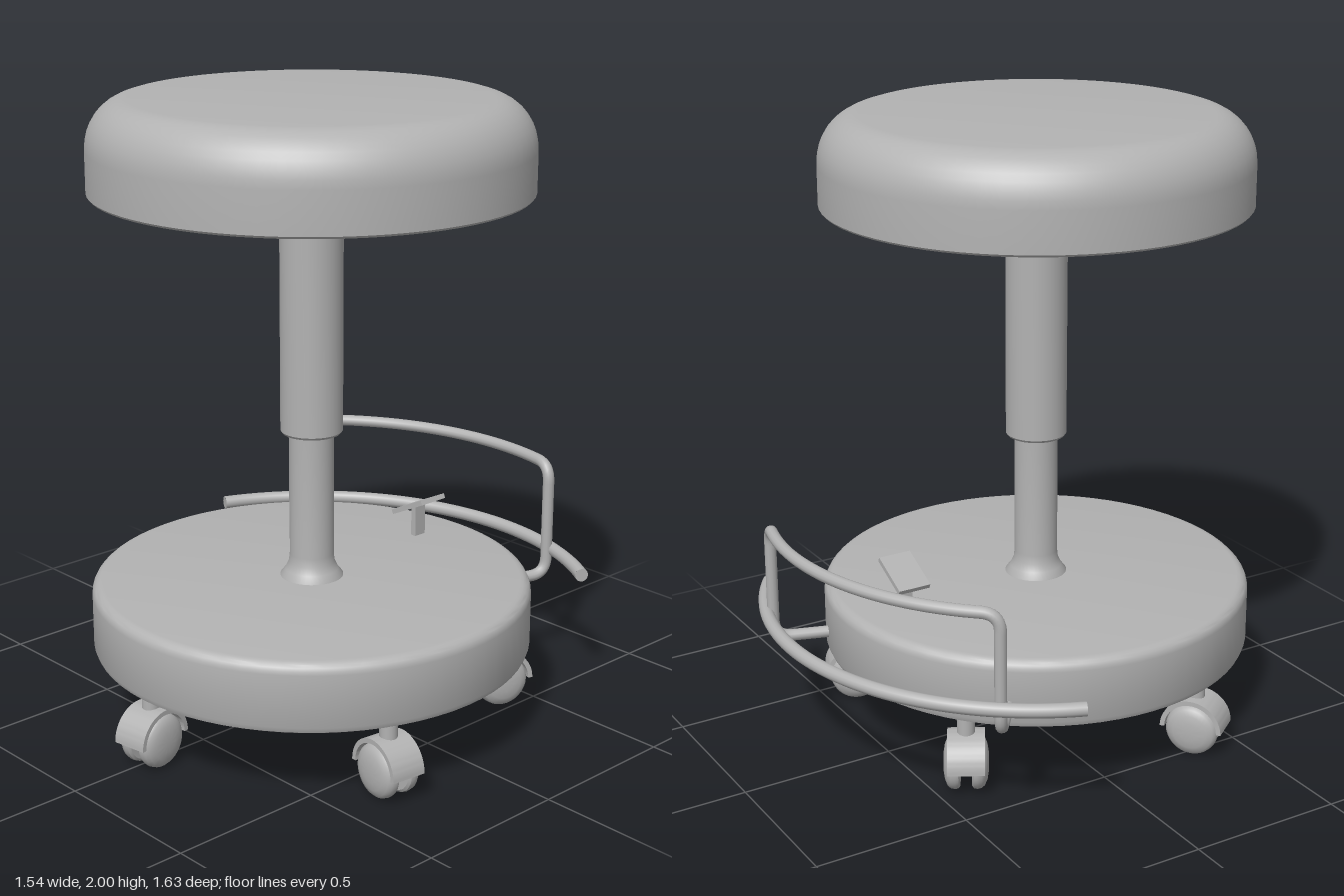
import * as THREE from 'three';
import { toCreasedNormals } from 'three/addons/utils/BufferGeometryUtils.js';

const CX = 0.072, CZ = 0.1; // axis of the stool
const grey = new THREE.MeshStandardMaterial({ color: 0xb2b2b2 });
grey.name = 'grey';

function part(name, geometry, parent) {
  const mesh = new THREE.Mesh(geometry, grey);
  mesh.name = name;
  parent.add(mesh);
  return mesh;
}

function lathe(points, segments = 64) {
  const geo = new THREE.LatheGeometry(points.map(([r, y]) => new THREE.Vector2(r, y)), segments);
  return toCreasedNormals(geo, 0.6);
}

// Quarter-ellipse profile from the side (r, y - h) to the top (r - w, y)
function roundedTop(r, y, w, h, steps = 9) {
  return Array.from({ length: steps + 1 }, (_, i) => {
    const a = (i / steps) * Math.PI / 2;
    return [r - w + w * Math.cos(a), y - h + h * Math.sin(a)];
  });
}

// Point on a circle round the stool axis; angle 0 is the back, positive towards +x
function around(radius, degrees, y) {
  const a = THREE.MathUtils.degToRad(degrees);
  return new THREE.Vector3(radius * Math.sin(a), y, 0.09 - CZ - radius * Math.cos(a));
}

function arc(radius, from, to, y) {
  const pts = Array.from({ length: 25 }, (_, i) => around(radius, from + (to - from) * i / 24, y));
  return new THREE.CatmullRomCurve3(pts);
}

function buildCaster(x, z, axisX, axisZ) {
  const caster = new THREE.Group();
  caster.name = 'caster';
  caster.position.set(x, 0, z);
  caster.rotation.y = Math.atan2(-axisZ, axisX);

  part('casterStem', new THREE.CylinderGeometry(0.028, 0.028, 0.12, 20), caster).position.y = 0.22;

  // Hood: half ring over both wheels
  const shape = new THREE.Shape();
  shape.absarc(0, 0, 0.101, 0, Math.PI, false);
  shape.absarc(0, 0, 0.086, Math.PI, 0, true);
  const hoodGeo = new THREE.ExtrudeGeometry(shape, { depth: 0.116, bevelEnabled: false, curveSegments: 20 });
  hoodGeo.translate(0, 0, -0.058).rotateY(Math.PI / 2);
  part('casterHood', toCreasedNormals(hoodGeo, 0.6), caster).position.y = 0.09;

  // Centre web and axle between the wheels
  const web = new THREE.CylinderGeometry(0.088, 0.088, 0.022, 24, 1, false, 0, Math.PI);
  web.rotateZ(Math.PI / 2);
  web.rotateX(Math.PI / 2);
  const webShape = new THREE.Shape();
  webShape.absarc(0, 0, 0.088, 0, Math.PI, false);
  const webGeo = new THREE.ExtrudeGeometry(webShape, { depth: 0.024, bevelEnabled: false, curveSegments: 16 });
  webGeo.translate(0, 0, -0.012).rotateY(Math.PI / 2);
  part('casterWeb', webGeo, caster).position.y = 0.09;
  const axle = part('casterAxle', new THREE.CylinderGeometry(0.016, 0.016, 0.1, 16), caster);
  axle.rotation.z = Math.PI / 2;
  axle.position.y = 0.087;

  // Wheels with domed outer faces
  for (const side of [-1, 1]) {
    const wheel = part('casterWheel', lathe([
      [0, 0.018], [0.076, 0.018], [0.084, 0.024], [0.086, 0.034],
      [0.083, 0.048], [0.074, 0.058], [0.055, 0.066], [0.03, 0.07], [0, 0.071],
    ], 32), caster);
    wheel.rotation.z = -side * Math.PI / 2;
    wheel.position.y = 0.087;
  }
  return caster;
}

export function createModel() {
  const model = new THREE.Group();
  model.name = 'rollingStool';
  const body = new THREE.Group();
  body.name = 'stoolBody';
  body.position.set(CX, 0, CZ);
  model.add(body);

  // Seat cushion and mounting plate
  part('seat', lathe([[0, 1.715], [0.67, 1.715], [0.676, 1.722], ...roundedTop(0.676, 2, 0.13, 0.15), [0, 2]], 72), body);
  part('seatPlate', lathe([[0, 1.672], [0.11, 1.672], [0.23, 1.703], [0.23, 1.718], [0, 1.718]]), body);

  // Telescopic column
  part('upperColumn', lathe([[0, 0.952], [0.092, 0.952], [0.098, 0.96], [0.098, 1.69], [0, 1.69]], 40), body);
  part('lowerColumn', lathe([
    [0, 0.465], [0.102, 0.465], [0.1, 0.478], [0.084, 0.498], [0.073, 0.522], [0.07, 0.55], [0.07, 0.97], [0, 0.97],
  ], 40), body);

  // Round base
  part('base', lathe([[0, 0.25], [0.675, 0.25], [0.69, 0.258], [0.697, 0.275], ...roundedTop(0.697, 0.476, 0.035, 0.035, 5), [0, 0.476]], 72), body);

  // Lower bumper rail with closed ends
  const bumper = arc(0.882, -68.5, 34.5, 0.414);
  part('bumperRail', new THREE.TubeGeometry(bumper, 64, 0.022, 14), body);
  for (const t of [0, 1]) {
    const cap = part('bumperRailEnd', new THREE.CircleGeometry(0.022, 14), body);
    const end = bumper.getPoint(t);
    cap.position.copy(end);
    const out = bumper.getTangent(t).multiplyScalar(t ? 1 : -1);
    cap.quaternion.setFromUnitVectors(new THREE.Vector3(0, 0, 1), out);
  }

  // Upper foot rail: strut, leg, arc, leg, strut with rounded bends
  const R = 0.862, A0 = -52, A1 = 18, TOP = 0.713, LOW = 0.327, B = 0.06;
  const turn = THREE.MathUtils.radToDeg(B / R);
  const rail = new THREE.CurvePath();
  const line = (a, b) => rail.add(new THREE.LineCurve3(a, b));
  const bend = (a, b, c) => rail.add(new THREE.QuadraticBezierCurve3(a, b, c));
  line(around(0.66, A0, LOW), around(R - B, A0, LOW));
  bend(around(R - B, A0, LOW), around(R, A0, LOW), around(R, A0, LOW + B));
  line(around(R, A0, LOW + B), around(R, A0, TOP - B));
  bend(around(R, A0, TOP - B), around(R, A0, TOP), around(R, A0 + turn, TOP));
  rail.add(arc(R, A0 + turn, A1 - turn, TOP));
  bend(around(R, A1 - turn, TOP), around(R, A1, TOP), around(R, A1, TOP - B));
  line(around(R, A1, TOP - B), around(R, A1, LOW + B));
  bend(around(R, A1, LOW + B), around(R, A1, LOW), around(R - B, A1, LOW));
  line(around(R - B, A1, LOW), around(0.66, A1, LOW));
  part('footRail', new THREE.TubeGeometry(rail, 200, 0.019, 12), body);

  // Height pedal
  const pedal = new THREE.Group();
  pedal.name = 'pedal';
  pedal.position.set(0.055, 0, -0.4);
  model.add(pedal);
  part('pedalStem', new THREE.BoxGeometry(0.02, 0.115, 0.045), pedal).position.y = 0.527;
  const plate = part('pedalPlate', new THREE.BoxGeometry(0.15, 0.016, 0.11), pedal);
  plate.position.y = 0.583;
  plate.rotation.z = 0.46;

  // Swivelled casters: x, z, wheel axis x, wheel axis z
  const casters = [
    [0.01, 0.712, 1, -0.15],
    [0.645, 0.32, -0.12, 1],
    [0.43, -0.395, 0.9, 0.4],
    [-0.32, -0.395, -0.5, 0.85],
    [-0.49, 0.355, 0.6, 0.8],
  ];
  for (const c of casters) model.add(buildCaster(...c));

  return model;
}
